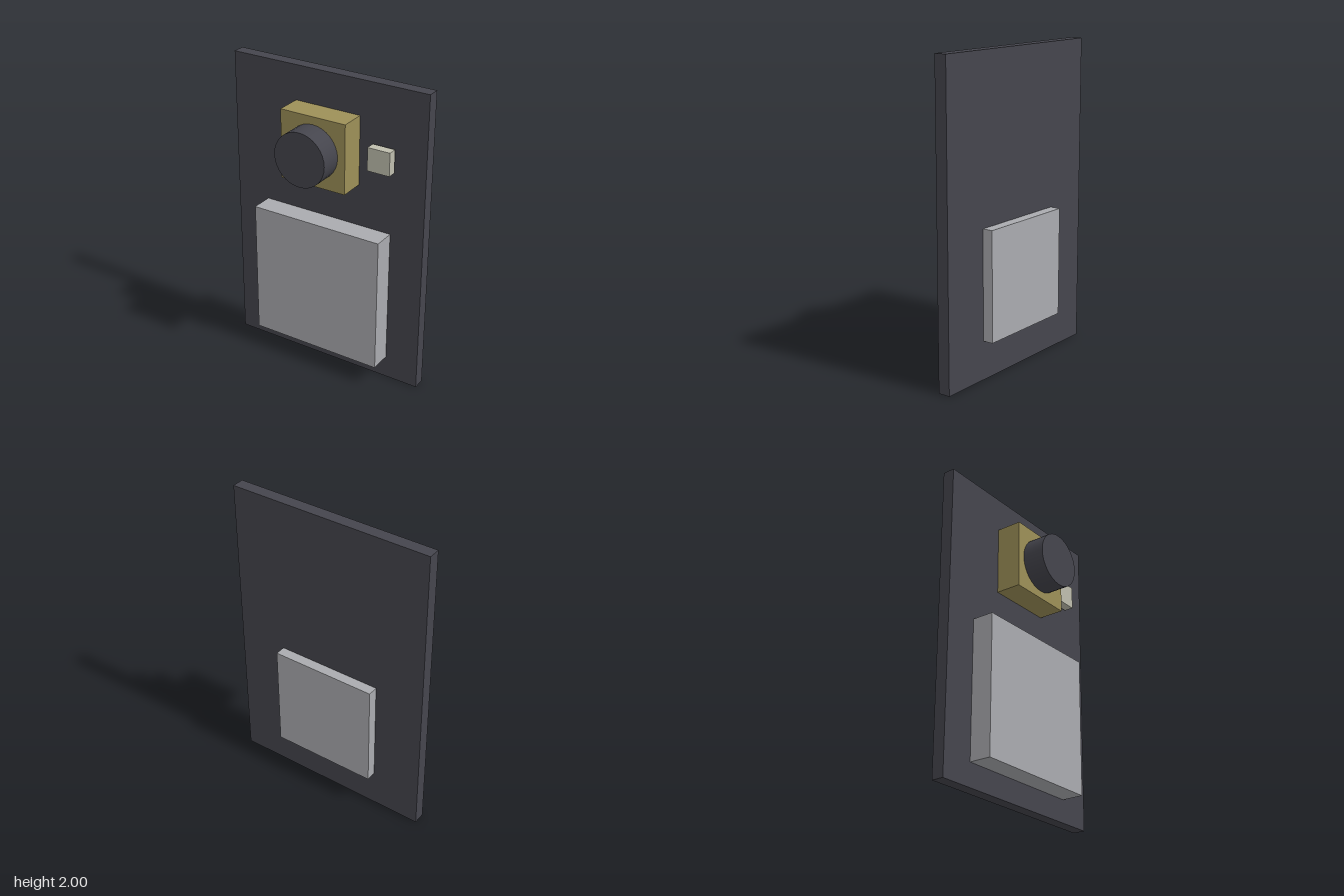
import * as THREE from 'three';

const paint = (name, color) => {
  const material = new THREE.MeshStandardMaterial({ color });
  material.name = name;
  return material;
};

export function createModel() {
  const model = new THREE.Group();
  model.name = 'cameraBoard';

  const charcoal = paint('charcoal', 0x45454d);
  const silver = paint('silver', 0xaaabaf);
  const brass = paint('brass', 0x9d9058);
  const ivory = paint('ivory', 0xbfbeae);

  // Box given by its centre in x and y, its width and height, and its z range
  const block = (name, material, x, y, w, h, back, front) => {
    const mesh = new THREE.Mesh(new THREE.BoxGeometry(w, h, front - back), material);
    mesh.name = name;
    mesh.position.set(x, y, (back + front) / 2);
    model.add(mesh);
  };

  // Upright circuit board with a module on each face
  block('board', charcoal, 0, 1, 1.35, 2, -0.161, -0.081);
  block('frontModule', silver, 0, 0.6, 0.9, 0.9, -0.081, 0.062);
  block('backModule', silver, 0, 0.6, 0.7, 0.7, -0.229, -0.161);

  // Camera housing and the small light beside it
  block('cameraHousing', brass, 0, 1.55, 0.45, 0.45, -0.081, 0.085);
  block('flashLight', ivory, 0.4, 1.55, 0.15, 0.15, -0.062, -0.002);

  // Round lens barrel pointing forward
  const lens = new THREE.Mesh(new THREE.CylinderGeometry(0.175, 0.175, 0.144, 32), charcoal);
  lens.name = 'lensBarrel';
  lens.rotation.x = Math.PI / 2;
  lens.position.set(0, 1.55, 0.157);
  model.add(lens);

  return model;
}
